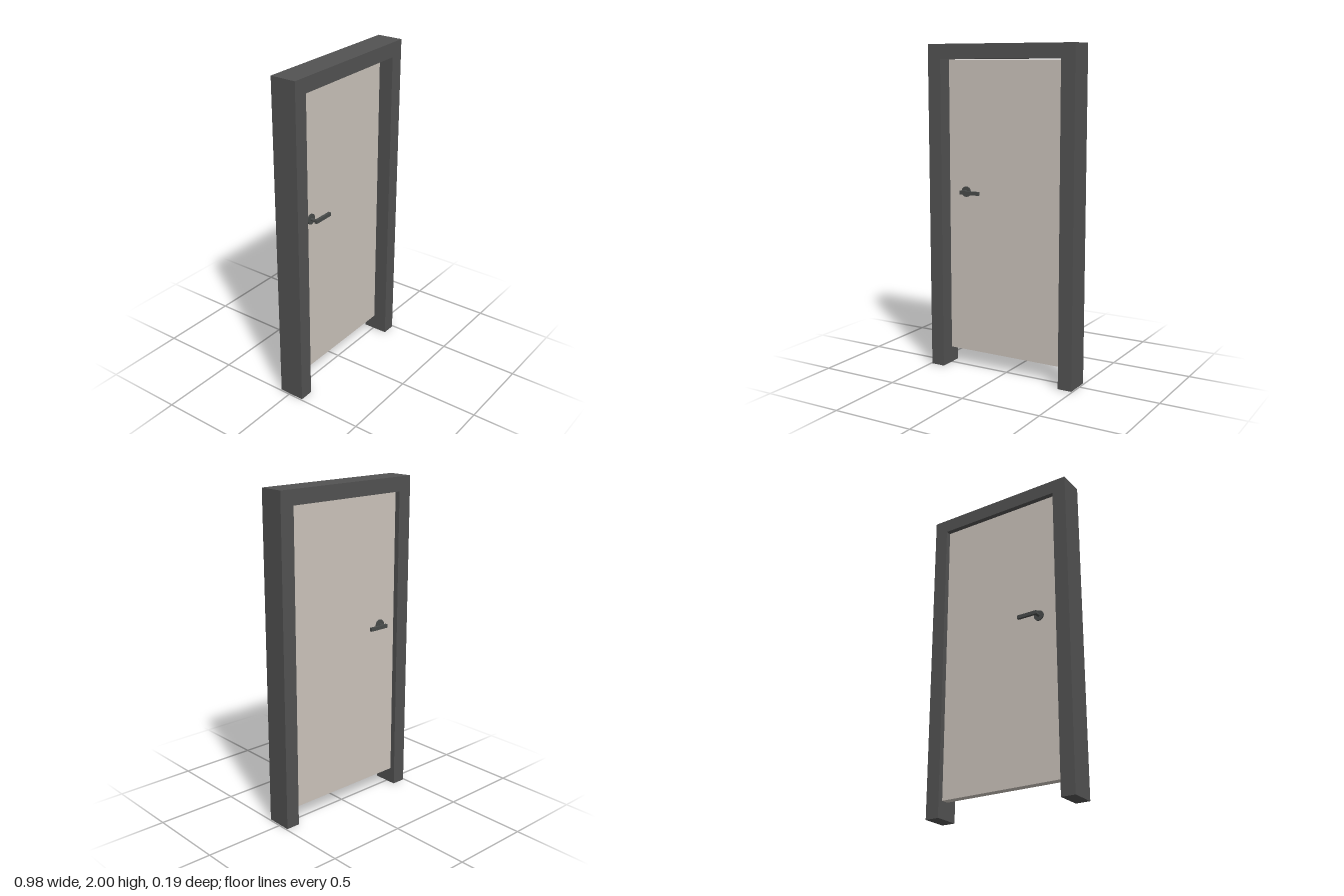
import * as THREE from 'three';

const material = (name, color) => {
  const m = new THREE.MeshStandardMaterial({ color });
  m.name = name;
  return m;
};

export function createModel() {
  const frameGrey = material('frame grey', 0x525252);
  const doorBeige = material('door beige', 0xcbc3bb);
  const handleGrey = material('handle grey', 0x484b4a);

  const group = new THREE.Group();
  group.name = 'door';
  const add = (parent, name, geometry, mat, x, y, z) => {
    const mesh = new THREE.Mesh(geometry, mat);
    mesh.name = name;
    mesh.position.set(x, y, z);
    parent.add(mesh);
    return mesh;
  };

  // Frame: one portal outline, open at the floor
  const w = 0.492, inner = 0.404, head = 1.912, depth = 0.16;
  const outline = new THREE.Shape([
    [-w, 0], [-inner, 0], [-inner, head], [inner, head],
    [inner, 0], [w, 0], [w, 2], [-w, 2],
  ].map(([x, y]) => new THREE.Vector2(x, y)));
  add(group, 'frame', new THREE.ExtrudeGeometry(outline, { depth, bevelEnabled: false }),
    frameGrey, 0, 0, -0.066);

  // Door leaf, with a narrow gap to the frame
  const doorZ = -0.015, thickness = 0.05;
  add(group, 'doorLeaf', new THREE.BoxGeometry(0.794, 1.803, thickness), doorBeige, 0, 1.0055, doorZ);

  // A lever handle on each face of the leaf
  for (const side of [1, -1]) {
    const handle = new THREE.Group();
    handle.name = side > 0 ? 'frontHandle' : 'backHandle';
    handle.position.set(-0.277, 1.111, doorZ + side * thickness / 2);
    const rose = add(handle, 'rosette', new THREE.CylinderGeometry(0.032, 0.032, 0.008, 24),
      handleGrey, 0, 0, side * 0.004);
    const neck = add(handle, 'neck', new THREE.CylinderGeometry(0.0095, 0.0095, 0.042, 16),
      handleGrey, 0, 0, side * 0.021);
    rose.rotation.x = neck.rotation.x = Math.PI / 2;
    add(handle, 'lever', new THREE.BoxGeometry(0.132, 0.022, 0.016), handleGrey, 0.052, 0, side * 0.048);
    group.add(handle);
  }
  return group;
}
